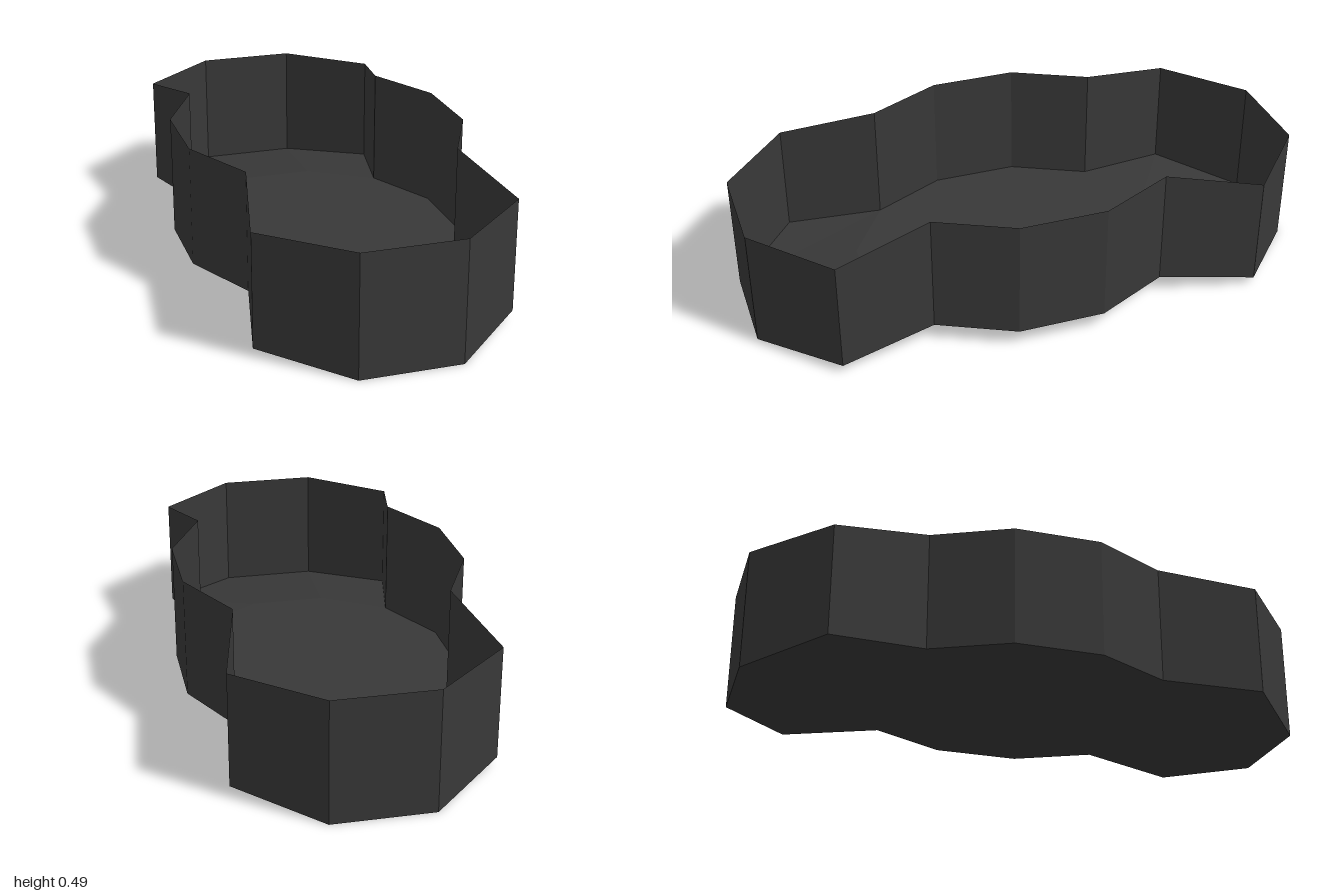
import * as THREE from 'three';

export function createModel() {
  const group = new THREE.Group();
  const charcoal = new THREE.MeshStandardMaterial({
    color: 0x383838, flatShading: true, side: THREE.DoubleSide,
  });
  charcoal.name = 'charcoal';

  // One quarter of the rim outline, front to middle: x, z, bottom y, top y
  const quarter = [
    [0.175, 1, 0, 0.43],
    [0.445, 0.76, 0.03, 0.43],
    [0.37, 0.42, 0.06, 0.49],
    [0.5, 0.155, 0.06, 0.49],
  ];
  const flip = (pts, sx, sz) => pts.map(([x, z, b, t]) => [x * sx, z * sz, b, t]);
  const ring = (q) => [
    ...q, ...flip(q, 1, -1).reverse(), ...flip(q, -1, -1), ...flip(q, -1, 1).reverse(),
  ];
  const low = ([x, z, b]) => [x, b, z];
  const high = ([x, z, , t]) => [x, t, z];

  // Mesh of convex polygons, each split as a fan
  const addPart = (name, polygons) => {
    const pos = [];
    for (const p of polygons) {
      for (let i = 1; i < p.length - 1; i++) pos.push(...p[0], ...p[i], ...p[i + 1]);
    }
    const geo = new THREE.BufferGeometry();
    geo.setAttribute('position', new THREE.Float32BufferAttribute(pos, 3));
    geo.computeVertexNormals();
    const mesh = new THREE.Mesh(geo, charcoal);
    mesh.name = name;
    group.add(mesh);
  };

  // Upright wall panels around the outline
  const rim = ring(quarter);
  addPart('walls', rim.map((a, i) => {
    const b = rim[(i + 1) % rim.length];
    return [low(a), low(b), high(b), high(a)];
  }));

  // Level middle floor
  const inner = [0.14, 0.57, 0.06, 0];
  addPart('middleFloor', [ring([inner, quarter[2], quarter[3]]).map(low)]);

  // Sloping floors at both ends
  for (const s of [1, -1]) {
    const [end, corner, waist, hinge] = [quarter[0], quarter[1], quarter[2], inner]
      .map(([x, z, b]) => [x * s, b, z * s]);
    const mir = ([x, y, z]) => [-x, y, z];
    addPart(s > 0 ? 'frontFloor' : 'backFloor', [
      [mir(hinge), mir(end), end, hinge],
      [hinge, end, corner, waist],
      [mir(waist), mir(corner), mir(end), mir(hinge)],
    ]);
  }
  return group;
}
